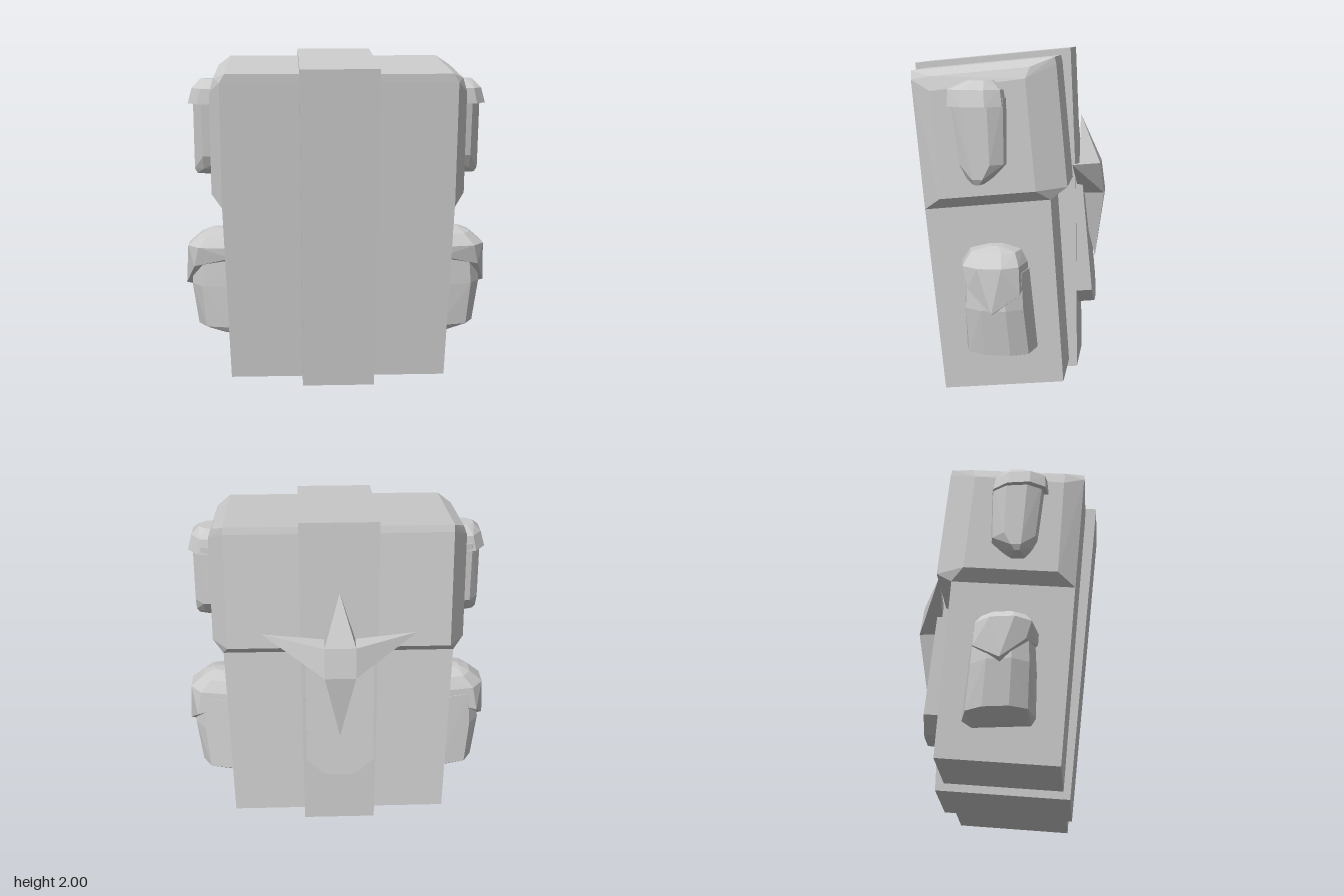
import * as THREE from 'three';
import { ConvexGeometry } from 'three/addons/geometries/ConvexGeometry.js';

const material = new THREE.MeshStandardMaterial({ color: 0xcccccc, flatShading: true });
const V = (x, y, z) => new THREE.Vector3(x, y, z);

// Faceted solid wrapped around a set of points
function hull(name, points) {
  const mesh = new THREE.Mesh(new ConvexGeometry(points), material);
  mesh.name = name;
  return mesh;
}

// Points of [x, y, z] mirrored to both sides
const both = (list) => list.flatMap(([x, y, z]) => [V(x, y, z), V(-x, y, z)]);

// Half-octagon cross-sections bulging out of the side wall: [y, z centre, half width, outer x]
const ARC = [[-1, 0], [-0.82, 0.75], [-0.35, 1], [0.35, 1], [0.82, 0.75], [1, 0]];
const WALL = 0.64;
function sections(levels, side) {
  return levels.flatMap(([y, zc, w, d]) =>
    ARC.map(([u, v]) => V(side * (WALL + v * (d - WALL)), y, zc + u * w)));
}

export function createModel() {
  const model = new THREE.Group();

  // Main pack, leaning forward
  const pack = new THREE.Group();
  pack.name = 'pack';
  pack.rotation.x = 0.097;
  model.add(pack);

  pack.add(hull('lowerBody', both([
    [0.645, 0.08, 0.312], [0.645, 0.08, -0.375],
    [0.68, 1.17, 0.312], [0.68, 1.17, -0.402],
  ])));

  // Wider upper compartment with chamfered corners and underside
  pack.add(hull('upperBody', both([
    [0.68, 1.14, 0.312], [0.68, 1.14, -0.402],
    [0.68, 1.16, 0.312], [0.745, 1.2, 0.21], [0.745, 1.2, -0.33], [0.65, 1.2, -0.498],
    [0.68, 1.87, 0.312], [0.745, 1.8, 0.2], [0.745, 1.82, -0.33], [0.65, 1.88, -0.498],
    [0.72, 1.88, 0.2], [0.72, 1.88, -0.36],
    [0.65, 1.92, 0.311], [0.65, 1.92, -0.493],
  ])));

  // Broad band around the middle
  pack.add(hull('centreBand', both([
    [0.215, 0.034, 0.353], [0.215, 0.034, -0.42], [0.225, 1.2, -0.515],
    [0.228, 1.956, 0.377], [0.228, 1.956, -0.552],
  ])));

  // Flap hanging down the back
  const flap = [[0.2, 1.17], [0.2, 0.5], [0.1, 0.41], [0.06, 0.4]];
  pack.add(hull('backFlap', both(flap.flatMap(([x, y]) => [[x, y, -0.4], [x, y, -0.55]]))));

  // Four-pointed star: spikes growing from the edges of a square hub
  const star = new THREE.Group();
  star.name = 'star';
  const hub = [V(-0.09, 1.31, -0.535), V(0.09, 1.31, -0.535), V(0.09, 1.13, -0.56), V(-0.09, 1.13, -0.56)];
  const root = hub.map((p) => V(p.x, p.y, -0.41));
  const tips = [V(0, 1.6, -0.41), V(0.45, 1.34, -0.392), V(0, 0.72, -0.505), V(-0.45, 1.34, -0.392)];
  star.add(hull('starHub', [...hub, ...root]));
  tips.forEach((tip, i) => {
    const j = (i + 1) % 4;
    star.add(hull('starSpike', [hub[i], hub[j], root[i], root[j], tip]));
  });
  model.add(star);

  // Side pouches with overhanging lids
  for (const side of [1, -1]) {
    const label = side > 0 ? 'left' : 'right';
    model.add(hull(label + 'UpperPouch', sections([
      [1.74, 0.105, 0.175, 0.855], [1.38, 0.08, 0.15, 0.855], [1.3, 0.095, 0.08, 0.855], [1.27, 0.1, 0.04, 0.84],
    ], side)));
    model.add(hull(label + 'UpperPouchLid', sections([
      [1.695, 0.115, 0.185, 0.885], [1.785, 0.12, 0.175, 0.86], [1.835, 0.09, 0.08, 0.815],
    ], side)));
    model.add(hull(label + 'LowerPouch', sections([
      [0.78, 0.01, 0.185, 0.87], [0.58, 0.005, 0.195, 0.89], [0.32, -0.015, 0.205, 0.855], [0.28, 0, 0.165, 0.71],
    ], side)));
    // Lid comes to a point at the lower middle
    model.add(hull(label + 'LowerPouchLid', [
      ...sections([[0.82, 0.025, 0.19, 0.91], [0.89, 0.02, 0.15, 0.83], [0.92, 0.01, 0.04, 0.76]], side),
      V(side * 0.93, 0.57, 0.01), V(side * 0.89, 0.56, 0.01),
      V(side * 0.87, 0.7, 0.15), V(side * 0.87, 0.67, -0.14),
      V(side * WALL, 0.76, 0.21), V(side * WALL, 0.75, -0.17),
    ]));
  }
  return model;
}
